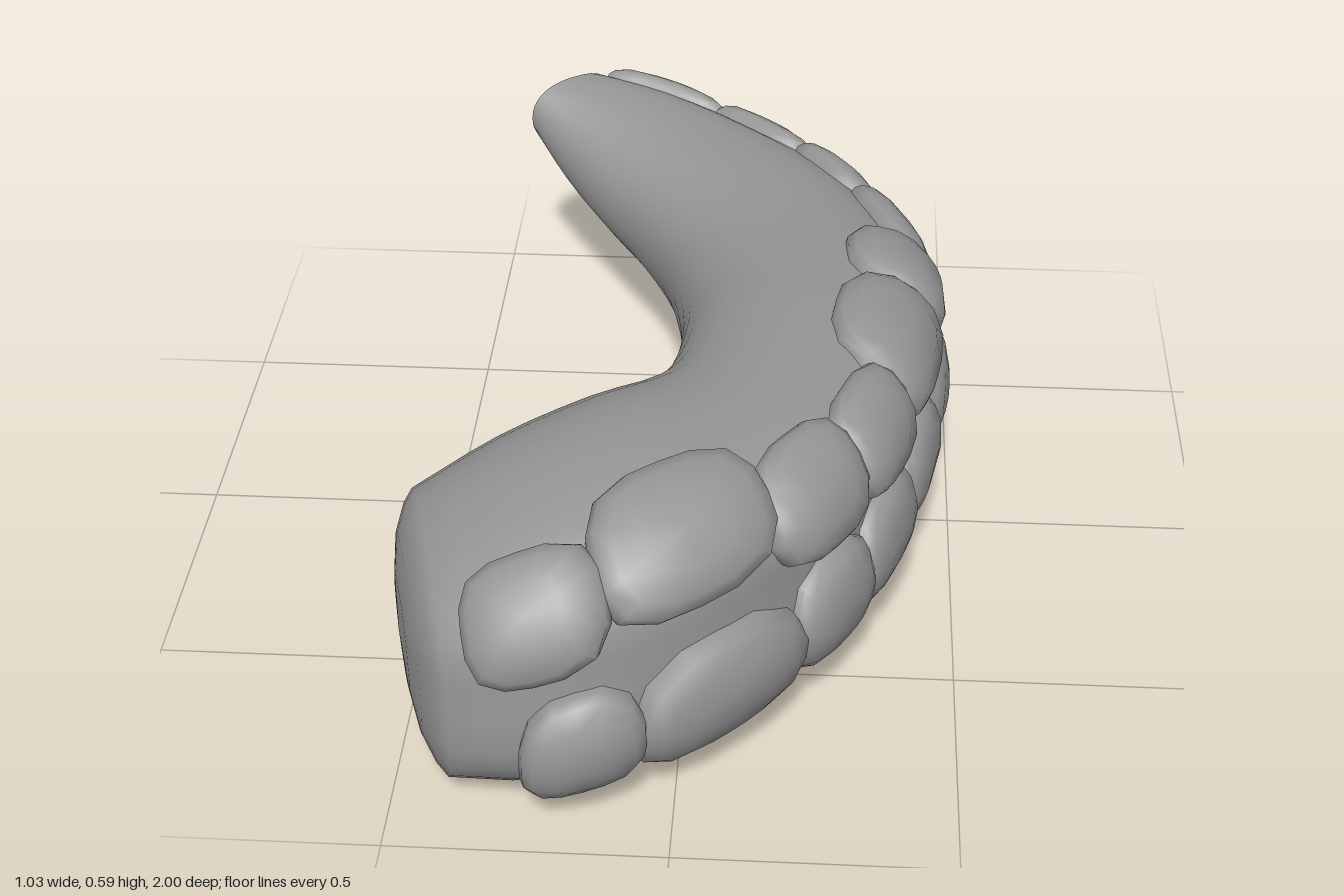
import * as THREE from 'three';
import { toCreasedNormals } from 'three/addons/utils/BufferGeometryUtils.js';

// Stations from base to tip: inner x, z, outer x, z, bottom y, top y
const STATIONS = [
  [-0.52, 0.40, -0.38, 0.935, 0.002, 0.44],
  [-0.37, 0.31, -0.20, 0.95, 0.005, 0.52],
  [-0.22, 0.225, 0.02, 0.85, 0.035, 0.555],
  [-0.11, 0.15, 0.235, 0.62, 0.06, 0.54],
  [-0.07, 0.06, 0.36, 0.37, 0.075, 0.53],
  [-0.05, -0.08, 0.435, 0.06, 0.09, 0.52],
  [-0.055, -0.22, 0.455, -0.22, 0.10, 0.505],
  [-0.095, -0.40, 0.395, -0.46, 0.12, 0.49],
  [-0.17, -0.55, 0.27, -0.68, 0.15, 0.485],
  [-0.26, -0.67, 0.11, -0.835, 0.19, 0.485],
  [-0.35, -0.775, -0.08, -0.94, 0.26, 0.50],
  [-0.425, -0.85, -0.26, -0.98, 0.37, 0.515],
];
const LAST = STATIONS.length - 1;
const curve = (pick) => new THREE.CatmullRomCurve3(
  STATIONS.map((s) => new THREE.Vector3(...pick(s))), false, 'catmullrom', 0.5);
const inner = curve((s) => [s[0], 0, s[1]]);
const outer = curve((s) => [s[2], 0, s[3]]);
const height = curve((s) => [s[4], s[5], 0]);

const softPow = (v, e) => Math.sign(v) * Math.abs(v) ** e;

// Point on the arm: s runs along it, phi around it (0 = outward, 90 degrees = up)
function surface(s, phi, scale = 1) {
  const t = THREE.MathUtils.clamp(s / LAST, 0, 1);
  const a = inner.getPoint(t), b = outer.getPoint(t), h = height.getPoint(t);
  const mid = a.clone().add(b).multiplyScalar(0.5);
  const half = b.clone().sub(a).multiplyScalar(0.5);
  // the outer side is flatter than the inner one, with a shallow groove between the sucker rows
  const e = Math.cos(phi) > 0 ? 0.75 : 0.88;
  const angle = Math.atan2(Math.sin(phi), Math.cos(phi));
  const groove = 1 - 0.05 * Math.exp(-(((angle - 0.12) / 0.2) ** 2));
  const p = mid.addScaledVector(half, softPow(Math.cos(phi), e) * groove * scale);
  p.y = (h.x + h.y) / 2 + ((h.y - h.x) / 2) * softPow(Math.sin(phi), e) * scale;
  return p;
}

function surfaceNormal(s, phi) {
  const e = 0.05;
  const ds = surface(s + e, phi).sub(surface(s - e, phi));
  const dp = surface(s, phi + e).sub(surface(s, phi - e));
  return ds.cross(dp).normalize();
}

// Grid surface, smooth except at edges sharper than the crease angle
function grid(nu, nv, point, crease) {
  const pos = [], index = [];
  for (let i = 0; i <= nu; i++) {
    for (let j = 0; j <= nv; j++) pos.push(...point(i, j % nv).toArray());
  }
  for (let i = 0; i < nu; i++) {
    for (let j = 0; j < nv; j++) {
      const a = i * (nv + 1) + j, b = a + nv + 1;
      index.push(a, b, a + 1, b, b + 1, a + 1);
    }
  }
  const geo = new THREE.BufferGeometry();
  geo.setAttribute('position', new THREE.Float32BufferAttribute(pos, 3));
  geo.setIndex(index);
  return toCreasedNormals(geo, crease);
}

// Curved arm with a domed base and a blunt tip
function armGeometry() {
  const rings = [[0, 0, -0.055], [0, 0.4, -0.05], [0, 0.7, -0.038], [0, 0.9, -0.018]];
  for (let k = 0; k <= LAST * 3; k++) rings.push([k / 3, 1, 0]);
  rings.push([LAST, 0.6, 0.008], [LAST, 0, 0.01]);
  const axis = (s) => surface(s, 0, 0);
  const startDir = axis(0.3).sub(axis(0)).setY(0).normalize();
  const endDir = axis(LAST).sub(axis(LAST - 0.3)).setY(0).normalize();
  const sides = 32;
  return grid(rings.length - 1, sides, (i, j) => {
    const [s, scale, bulge] = rings[i];
    return surface(s, (j / sides) * Math.PI * 2, scale)
      .addScaledVector(s === 0 ? startDir : endDir, bulge);
  }, 1.35);
}

// Low domed sucker laid over the arm, with a rounded polygon outline
function suckerGeometry(s0, s1, low, high, thick) {
  const profile = [[0, 1], [0.45, 0.97], [0.75, 0.85], [0.92, 0.6], [1, 0.25], [1.02, -0.5]];
  const sides = 16;
  return grid(profile.length - 1, sides, (i, j) => {
    const [r, h] = profile[i];
    const th = (j / sides) * Math.PI * 2;
    const c = Math.cos(th), n = Math.sin(th);
    const k = r / (Math.abs(c) ** 3.2 + Math.abs(n) ** 3.2) ** (1 / 3.2);
    const s = (s0 + s1) / 2 + ((s1 - s0) / 2) * k * c;
    const f = (low + high) / 2 + ((high - low) / 2) * k * n;
    return surface(s, f).addScaledVector(surfaceNormal(s, f), h * thick);
  }, 0.9);
}

// Sucker boundaries along the arm, and the angles (degrees) each spans around it
const ROWS = [
  { name: 'upperSucker',
    edges: [0.3, 1.45, 2.7, 3.6, 4.45, 5.55, 6.4, 7.5, 8.4, 9.5, 10.9],
    low: [12, 20, 10, 9, 9, 8, 8, 8, 8, 8],
    high: [64, 78, 66, 62, 80, 78, 52, 52, 52, 55] },
  { name: 'lowerSucker',
    edges: [0.75, 1.65, 2.85, 3.6, 4.4, 5.2, 6.35, 7.55, 8.55, 9.7, 10.9],
    low: [-33, -43, -42, -44, -46, -47, -47, -47, -46, -45],
    high: [3, 4, 6, 6, 6, 6, 5, 4, 4, 3] },
];

export function createModel() {
  const group = new THREE.Group();
  const material = new THREE.MeshStandardMaterial({ color: 0x969696 });
  const add = (name, geo) => {
    const mesh = new THREE.Mesh(geo, material);
    mesh.name = name;
    group.add(mesh);
  };

  add('arm', armGeometry());
  const rad = THREE.MathUtils.degToRad;
  for (const { name, edges, low, high } of ROWS) {
    low.forEach((angle, k) => {
      add(name + (k + 1), suckerGeometry(edges[k] - 0.05, edges[k + 1] + 0.05,
        rad(angle), rad(high[k]), 0.056 - 0.0025 * k));
    });
  }
  return group;
}
